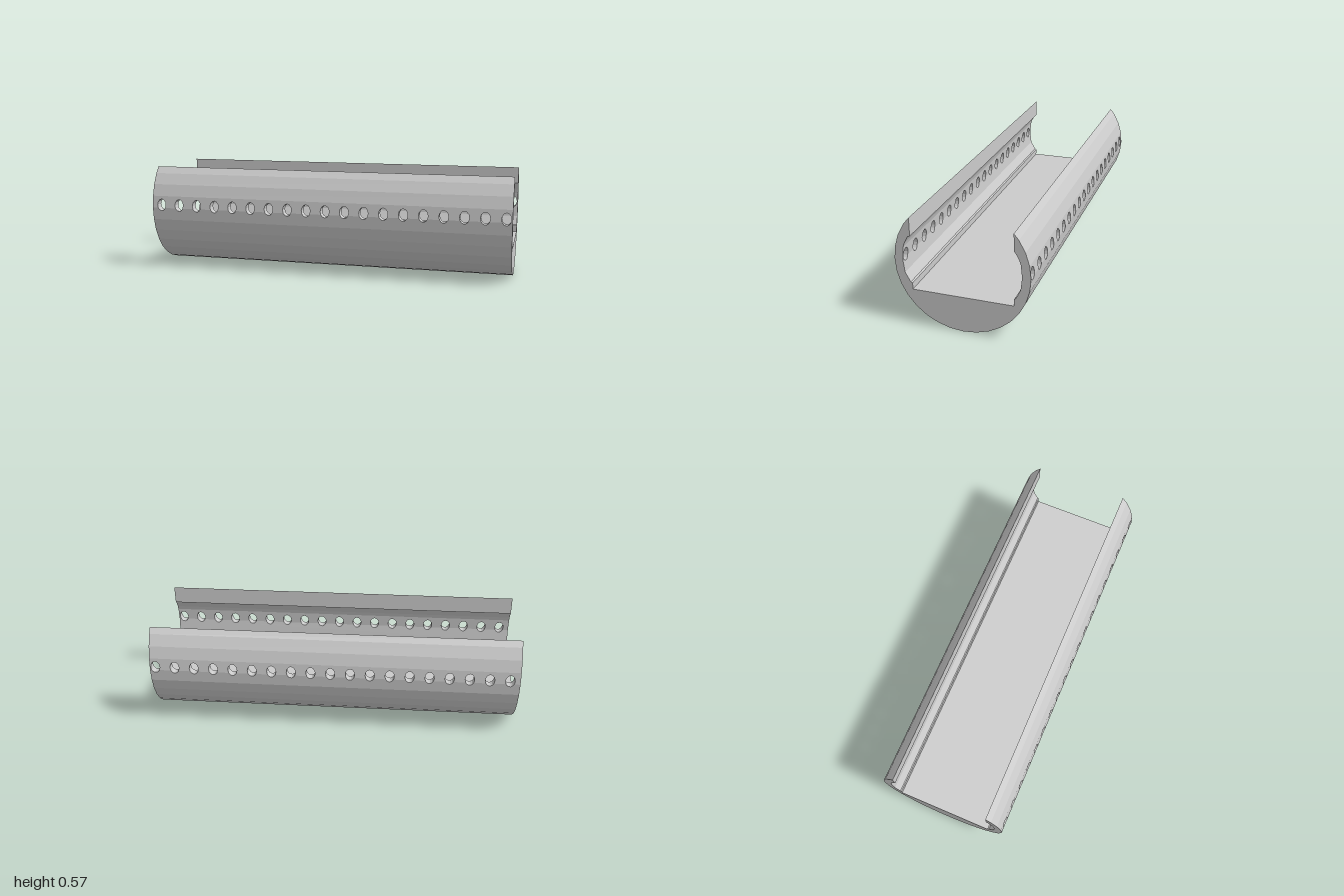
import * as THREE from 'three';

const R = 0.343, CY = 0.344, STEP = Math.PI / 16;   // 32-sided outer tube
const rim = k => [R * Math.cos(k * STEP), CY + R * Math.sin(k * STEP)]; // [z, y]
const LOW = rim(-1)[1], HIGH = rim(1)[1];           // band pierced by the holes
const INNER = { low: 0.292, mid: 0.3, high: 0.294 }; // inner wall z at LOW, CY, HIGH
const HOLES = 19, FIRST = -0.946, PITCH = 0.1064;
const HOLE_Y = 0.361, RX = 0.025, RY = 0.033;

export function createModel() {
  const group = new THREE.Group();
  const material = new THREE.MeshStandardMaterial({ color: 0xcccccc, flatShading: true });
  const add = (name, geometry) => {
    const mesh = new THREE.Mesh(geometry, material);
    mesh.name = name;
    group.add(mesh);
  };

  // Extrude a [z, y] profile along the whole length
  const alongX = profile => {
    const shape = new THREE.Shape(profile.map(([z, y]) => new THREE.Vector2(-z, y)));
    const g = new THREE.ExtrudeGeometry(shape, { depth: 2, bevelEnabled: false });
    return g.rotateY(Math.PI / 2).translate(-1, 0, 0);
  };

  // Solid lower trough with flat floor
  const trough = [];
  for (let k = -1; k >= -15; k--) trough.push(rim(k));
  trough.push([-INNER.low, LOW], [-0.267, 0.229], [-0.261, 0.227], [-0.261, 0.19],
    [0.256, 0.19], [0.256, 0.224], [0.265, 0.228], [INNER.low, LOW]);
  add('trough', alongX(trough));

  // Upper lips, cut off vertically on the inside
  const lip = (side, cut) => {
    const a = rim(3), b = rim(4);
    const top = a[1] + (a[0] - cut) / (a[0] - b[0]) * (b[1] - a[1]);
    return alongX([rim(1), rim(2), a, [cut, top], [cut, 0.474], [0.267, 0.47],
      [0.287, 0.433], [INNER.high, HIGH]].map(([z, y]) => [side * z, y]));
  };
  add('frontLip', lip(1, 0.256));
  add('backLip', lip(-1, 0.261));

  // Pierced wall facets: each strip carries one part of every hole as a notch
  const strip = (side, upper) => {
    const edgeY = upper ? HIGH : LOW;
    const cross = Math.asin((CY - HOLE_Y) / RY);
    const from = upper ? Math.PI - cross : -Math.PI - cross;
    const points = [new THREE.Vector2(-1, CY)];
    const segments = upper ? 8 : 5;
    for (let i = 0; i < HOLES; i++) {
      for (let j = 0; j <= segments; j++) {
        const t = from + (cross - from) * j / segments;
        points.push(new THREE.Vector2(FIRST + PITCH * i + RX * Math.cos(t), HOLE_Y + RY * Math.sin(t)));
      }
    }
    points.push(new THREE.Vector2(1, CY), new THREE.Vector2(1, edgeY), new THREE.Vector2(-1, edgeY));
    const g = new THREE.ExtrudeGeometry(new THREE.Shape(points), { depth: 1, bevelEnabled: false });

    // Lean the slab onto the outer and inner wall facets
    const p = g.attributes.position;
    const edgeInner = upper ? INNER.high : INNER.low;
    for (let i = 0; i < p.count; i++) {
      const f = (p.getY(i) - CY) / (edgeY - CY);
      const outer = THREE.MathUtils.lerp(R, rim(1)[0], f);
      const inner = THREE.MathUtils.lerp(INNER.mid, edgeInner, f);
      const s = p.getZ(i);
      p.setZ(i, side > 0 ? inner + s * (outer - inner) : -outer + s * (outer - inner));
    }
    g.computeVertexNormals();
    return g;
  };
  for (const [name, side] of [['front', 1], ['back', -1]]) {
    add(name + 'LowerHoleStrip', strip(side, false));
    add(name + 'UpperHoleStrip', strip(side, true));
  }
  return group;
}
